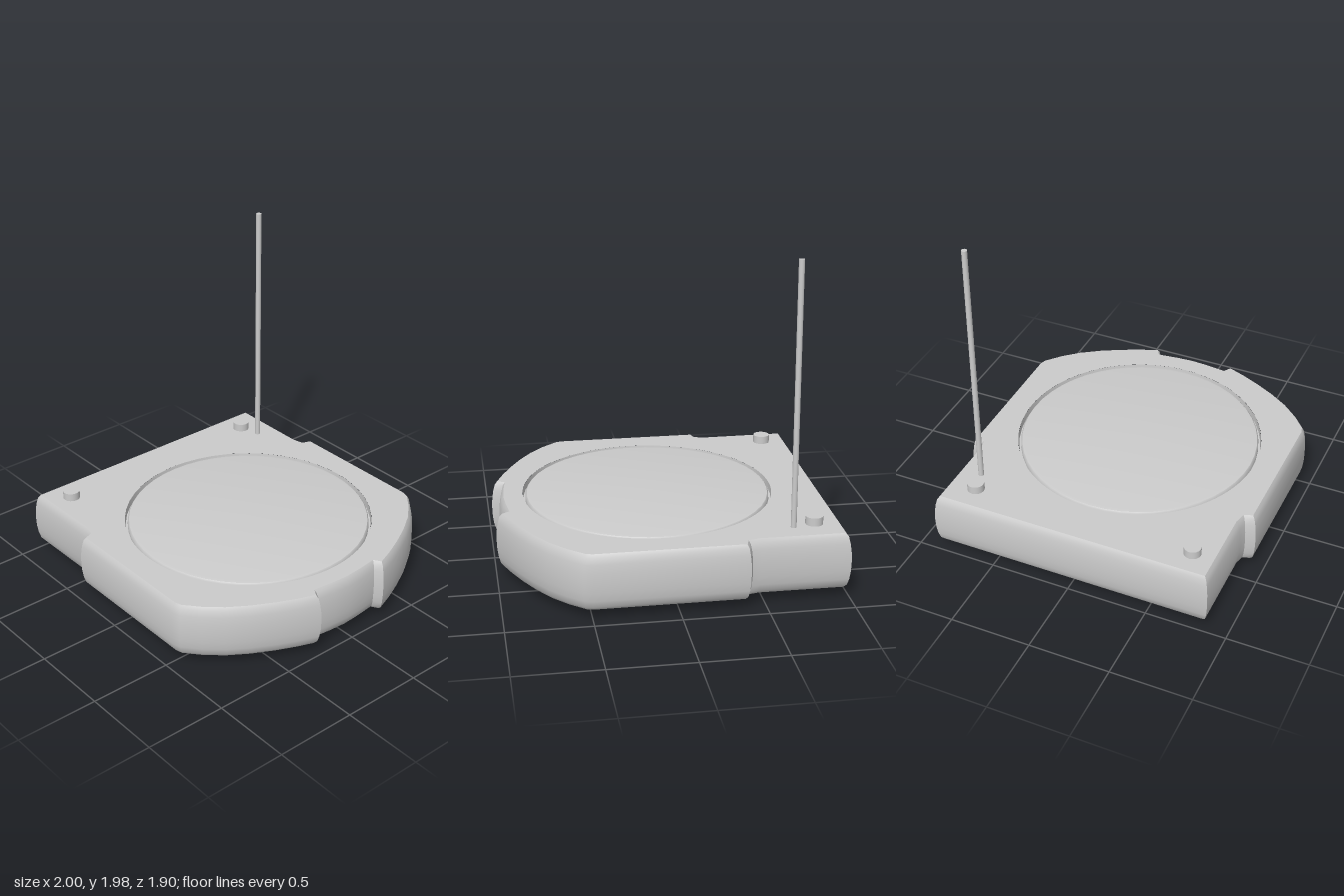
import * as THREE from 'three';
import { toCreasedNormals } from 'three/addons/utils/BufferGeometryUtils.js';

const BOTTOM = 0.06, TOP = 0.4;
const material = new THREE.MeshStandardMaterial({ color: 0xcccccc });
const thin = new THREE.MeshStandardMaterial({ color: 0xcccccc, side: THREE.DoubleSide });

function add(parent, name, geometry, x = 0, y = 0, z = 0, mat = material) {
  const mesh = new THREE.Mesh(geometry, mat);
  mesh.name = name;
  mesh.position.set(x, y, z);
  parent.add(mesh);
  return mesh;
}

// Plan outline of the +z half, from the square end round to the middle of the bumper
const half = [
  [-1, 0.88], [-0.47, 0.878], [-0.42, 0.89], [-0.4, 0.948], [0.5, 0.95], [0.55, 0.935],
  [0.65, 0.85], [0.74, 0.75], [0.82, 0.63], [0.89, 0.5], [0.945, 0.38], [0.995, 0.25],
  [0.945, 0.22], [0.958, 0.11], [0.965, 0],
];
const outline = [...half, ...half.slice(0, -1).reverse().map(([x, z]) => [x, -z])];

// Outline moved inward by d, with mitred corners
function inset(d) {
  const n = outline.length;
  const normal = (a, b) => new THREE.Vector2(b[1] - a[1], a[0] - b[0]).normalize();
  return outline.map((p, i) => {
    const n1 = normal(outline[(i + n - 1) % n], p);
    const n2 = normal(p, outline[(i + 1) % n]);
    const k = d / Math.max(0.5, 1 + n1.dot(n2));
    return new THREE.Vector2(p[0] + (n1.x + n2.x) * k, p[1] + (n1.y + n2.y) * k);
  });
}

// Bulging side wall: [inset, height] cross-section swept round the outline
const profile = [
  [0.034, BOTTOM], [0.018, 0.08], [0.008, 0.12], [0.002, 0.17], [0, 0.23],
  [0.002, 0.29], [0.008, 0.34], [0.017, 0.38], [0.03, TOP],
];
function wallGeometry() {
  const n = outline.length, pos = [], index = [];
  for (const [d, y] of profile) for (const p of inset(d)) pos.push(p.x, y, p.y);
  for (let k = 0; k < profile.length - 1; k++) {
    for (let i = 0; i < n; i++) {
      const a = k * n + i, b = k * n + (i + 1) % n;
      index.push(a, b, b + n, a, b + n, a + n);
    }
  }
  const g = new THREE.BufferGeometry();
  g.setAttribute('position', new THREE.Float32BufferAttribute(pos, 3));
  g.setIndex(index);
  return toCreasedNormals(g, 0.6);
}

// Rectangular opening in the underside, given as centre and size
function rectHole({ x, z, w, d }) {
  return new THREE.Path([[-1, -1], [1, -1], [1, 1], [-1, 1]]
    .map(([i, j]) => new THREE.Vector2(x + i * w / 2, z + j * d / 2)));
}

// Wheel with rounded shoulders, axle along z
function wheelGeometry(r, w) {
  const h = w / 2, e = 0.035;
  const pts = [[0, -h], [r - e, -h], [r - e * 0.3, -h + e * 0.3], [r, -h + e],
    [r, h - e], [r - e * 0.3, h - e * 0.3], [r - e, h], [0, h]];
  const g = new THREE.LatheGeometry(pts.map(p => new THREE.Vector2(...p)), 32);
  return toCreasedNormals(g.rotateX(Math.PI / 2), 0.8);
}

export function createModel() {
  const model = new THREE.Group();
  model.name = 'robotBase';

  const wells = [
    { x: -0.585, z: 0.355, w: 0.69, d: 0.28, h: 0.24 },
    { x: -0.585, z: -0.355, w: 0.69, d: 0.28, h: 0.24 },
    { x: 0.765, z: 0, w: 0.26, d: 0.28, h: 0.16 },
  ];

  // Shell: wall, top plate with round opening, underside with wheel openings
  const shell = new THREE.Group();
  shell.name = 'shell';
  model.add(shell);
  add(shell, 'sideWall', wallGeometry());

  const discX = 0.055, discR = 0.762, segments = 48;
  const topShape = new THREE.Shape(inset(profile.at(-1)[0]));
  topShape.holes.push(new THREE.Path().absarc(discX, 0, discR, 0, Math.PI * 2, true));
  add(shell, 'topPlate', new THREE.ShapeGeometry(topShape, segments).rotateX(-Math.PI / 2), 0, TOP);

  const baseShape = new THREE.Shape(inset(profile[0][0]));
  baseShape.holes.push(...wells.map(rectHole));
  add(shell, 'underside', new THREE.ShapeGeometry(baseShape).rotateX(Math.PI / 2), 0, BOTTOM);

  // Round lid set into the top, with the groove round it
  const lid = [[discR, TOP], [discR - 0.004, 0.36], [0.746, 0.36], [0.744, 0.388],
    [0.737, 0.397], [0.72, TOP], [0, TOP]].map(p => new THREE.Vector2(...p));
  add(model, 'lid', toCreasedNormals(new THREE.LatheGeometry(lid, segments), 0.7), discX);

  // Wheel wells: boxes open at the bottom
  for (const { x, z, w, d, h } of wells) {
    const g = new THREE.BoxGeometry(w, h, d);
    g.setIndex([...g.index.array].filter((_, i) => i < 18 || i >= 24));
    g.clearGroups();
    add(model, 'wheelWell', g, x, BOTTOM + h / 2, z, thin);
  }

  // Two drive wheels on each side and a single front caster
  for (const z of [0.355, -0.355]) {
    for (const x of [-0.74, -0.415]) add(model, 'driveWheel', wheelGeometry(0.142, 0.23), x, 0.142, z);
  }
  add(model, 'frontWheel', wheelGeometry(0.1, 0.16), 0.765, 0.1, 0);

  // Knobs and antenna
  for (const z of [0.715, -0.685]) {
    add(model, 'knob', new THREE.CylinderGeometry(0.052, 0.052, 0.05, 24), -0.823, TOP + 0.025, z);
  }
  add(model, 'antenna', new THREE.CylinderGeometry(0.017, 0.017, 1.58, 16), -0.692, TOP + 0.79, -0.722);

  return model;
}
